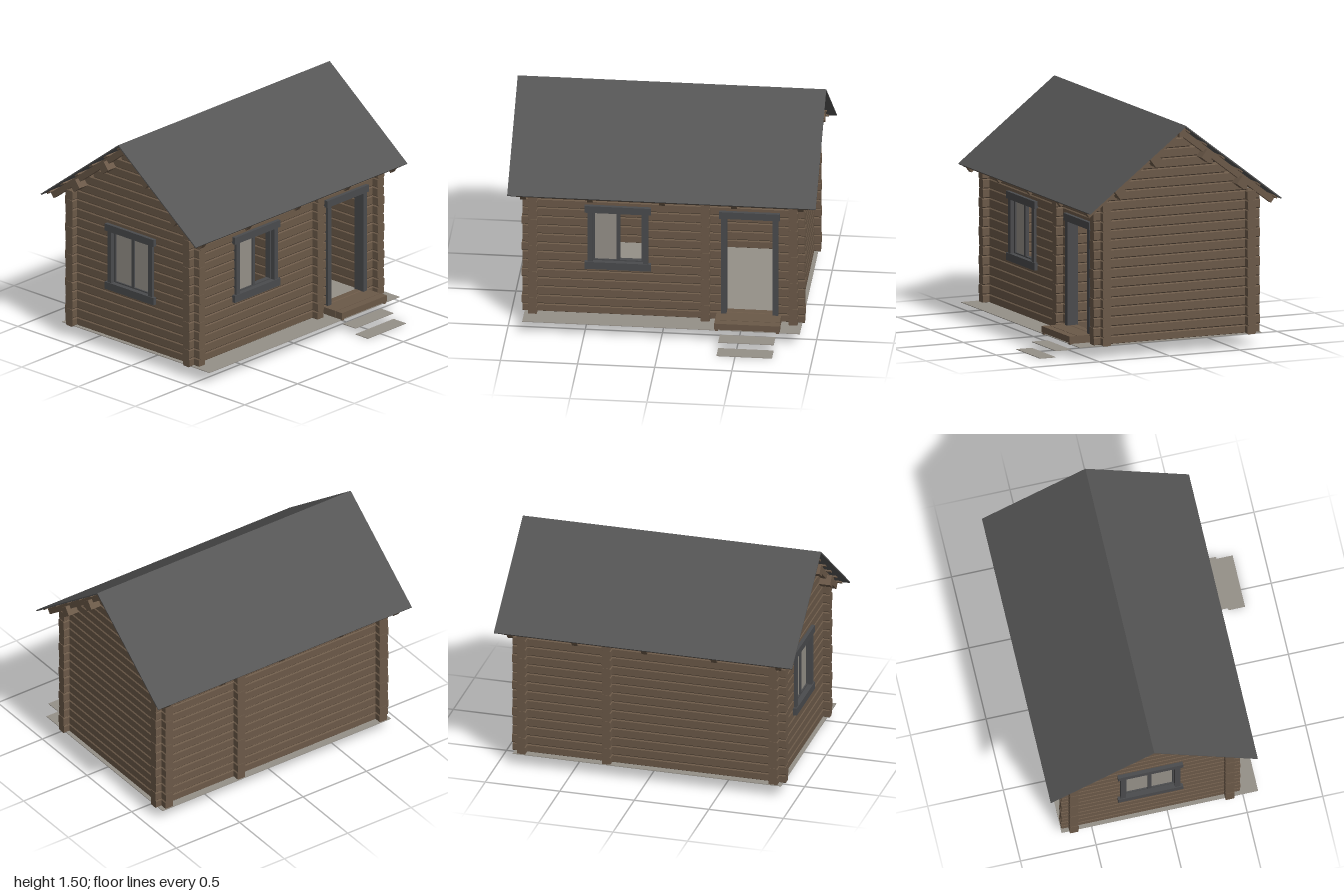
import * as THREE from 'three';

const material = (name, color) => {
  const m = new THREE.MeshStandardMaterial({ color });
  m.name = name;
  return m;
};

export function createModel() {
  const wood = material('brown wood', 0x6b5948);
  const roofing = material('roof grey', 0x555555);
  const trim = material('dark trim', 0x4a4b4d);
  const pale = material('pale grey', 0x959088);
  pale.side = THREE.DoubleSide;

  const cabin = new THREE.Group();
  cabin.name = 'logCabin';
  const group = (name, parent = cabin) => {
    const g = new THREE.Group();
    g.name = name;
    parent.add(g);
    return g;
  };
  // Box given by its extents on each axis
  const box = (parent, name, mat, [x0, x1], [y0, y1], [z0, z1]) => {
    const m = new THREE.Mesh(new THREE.BoxGeometry(x1 - x0, y1 - y0, z1 - z0), mat);
    m.position.set((x0 + x1) / 2, (y0 + y1) / 2, (z0 + z1) / 2);
    m.name = name;
    parent.add(m);
    return m;
  };

  // Squared log with chamfered edges, running from a to b along x or z
  const T = 0.029, C = 0.007;
  const log = (parent, axis, a, b, cross, y0, y1) => {
    const s = new THREE.Shape([
      [-T + C, y0], [T - C, y0], [T, y0 + C], [T, y1 - C],
      [T - C, y1], [-T + C, y1], [-T, y1 - C], [-T, y0 + C],
    ].map(([x, y]) => new THREE.Vector2(x, y)));
    const geo = new THREE.ExtrudeGeometry(s, { depth: b - a, bevelEnabled: false });
    const m = new THREE.Mesh(geo, wood);
    m.name = 'log';
    if (axis === 'x') {
      m.rotation.y = Math.PI / 2;
      m.position.set(a, 0, cross);
    } else m.position.set(cross, 0, a);
    parent.add(m);
  };

  // Wall of stacked logs; an opening is [from, to, bottom, top]
  const ROW = 0.0631, BASE = 0.137, ROWS = 14;
  const wall = (name, axis, from, to, cross, openings = []) => {
    const g = group(name);
    for (let i = 0; i <= ROWS; i++) {
      const y1 = BASE + i * ROW, y0 = i ? y1 - ROW : 0.08;
      const mid = (y0 + y1) / 2, jog = i % 3 === 1 ? 0.004 : 0;
      let start = from - jog;
      for (const [a, b, low, high] of openings) {
        if (mid < low || mid > high) continue;
        log(g, axis, start, a, cross, y0, y1);
        start = b;
      }
      log(g, axis, start, to + jog, cross, y0, y1);
    }
    return g;
  };
  const RIDGE_Z = -0.115, RIDGE_Y = 1.5, RISE = 0.525, RUN = 0.685;
  wall('frontWall', 'x', -0.915, 0.915, 0.405,
    [[-0.47, -0.12, 0.46, 0.82], [0.4, 0.72, 0.137, 0.82]]);
  wall('backWall', 'x', -0.915, 0.915, -0.625);
  wall('innerWall', 'z', -0.7, 0.48, 0.275);
  for (const side of [-1, 1]) {
    const g = wall(side < 0 ? 'rightWall' : 'leftWall', 'z', -0.7, 0.48, side * 0.845,
      side < 0 ? [[-0.29, 0.06, 0.46, 0.82]] : []);
    // Gable logs shorten towards the ridge
    for (let y = BASE + ROWS * ROW; y < 1.4; y += ROW) {
      const half = (1.435 - y - ROW / 2) * RUN / RISE;
      if (half > 0.01) log(g, 'z', RIDGE_Z - half, RIDGE_Z + half, side * 0.845, y, y + ROW);
    }
  }

  // Window with its outer wall face at local z = 0
  const window_ = (name, panes) => {
    const g = group(name);
    box(g, 'topTrim', trim, [-0.215, 0.215], [0.82, 0.868], [-0.058, 0.024]);
    box(g, 'sill', trim, [-0.215, 0.215], [0.415, 0.465], [-0.058, 0.024]);
    for (const s of [-1, 1]) {
      const jamb = [s * 0.18 - 0.017, s * 0.18 + 0.017];
      box(g, 'jamb', trim, jamb, [0.465, 0.82], [-0.058, 0.018]);
      // Sash around each pane
      const c = s * 0.082;
      for (const e of [-1, 1])
        box(g, 'sashSide', trim, [c + e * 0.076 - 0.006, c + e * 0.076 + 0.006], [0.465, 0.82], [-0.035, -0.01]);
      for (const y of [0.465, 0.812])
        box(g, 'sashRail', trim, [c - 0.07, c + 0.07], [y, y + 0.008], [-0.035, -0.01]);
      if (panes.includes(s))
        box(g, 'pane', pale, [c - 0.07, c + 0.07], [0.473, 0.812], [-0.025, -0.02]);
    }
    return g;
  };
  window_('frontWindow', [-1]).position.set(-0.295, 0, 0.434);
  const sideWindow = window_('sideWindow', [-1, 1]);
  sideWindow.position.set(-0.874, 0, RIDGE_Z);
  sideWindow.rotation.y = -Math.PI / 2;

  // Open doorway
  const door = group('doorFrame');
  for (const x of [0.375, 0.71])
    box(door, 'doorJamb', trim, [x, x + 0.035], [0.135, 0.825], [0.376, 0.452]);
  box(door, 'doorHead', trim, [0.362, 0.755], [0.82, 0.868], [0.376, 0.458]);

  // Porch deck of two planks on short bearers
  const porch = group('porch');
  box(porch, 'plank', wood, [0.345, 0.765], [0.093, 0.135], [0.434, 0.548]);
  box(porch, 'plank', wood, [0.345, 0.77], [0.093, 0.135], [0.552, 0.605]);
  for (const x of [0.35, 0.745])
    box(porch, 'bearer', wood, [x, x + 0.02], [0.08, 0.093], [0.44, 0.6]);

  // Floor slab and step treads
  box(cabin, 'floorSlab', pale, [-0.9, 0.9], [0.081, 0.085], [-0.705, 0.595]);
  box(cabin, 'upperStep', pale, [0.38, 0.74], [0.041, 0.045], [0.58, 0.69]);
  box(cabin, 'lowerStep', pale, [0.38, 0.74], [0, 0.004], [0.69, 0.8]);

  // Two roof slopes, local z running down from the ridge
  const L = Math.hypot(RISE, RUN);
  const roof = group('roof');
  for (const turn of [0, Math.PI]) {
    const half = group('roofHalf', roof);
    half.position.set(0, RIDGE_Y, RIDGE_Z);
    half.rotation.y = turn;
    const slope = group('slope', half);
    slope.rotation.x = Math.atan2(RISE, RUN);
    box(slope, 'roofSheet', roofing, [-1, 1], [-0.008, 0], [0, L]);
    for (const x of [-0.9, -0.467, 0, 0.467, 0.9])
      box(slope, 'rafter', wood, [x - 0.019, x + 0.019], [-0.058, -0.018], [0.02, L - 0.005]);
    for (const z of [0.05, 0.2, 0.36, 0.52, 0.68, 0.83])
      box(slope, 'batten', wood, [-0.95, 0.95], [-0.018, -0.008], [z, z + 0.03]);
    for (const z of [0.28, 0.597])
      box(slope, 'purlin', wood, [-0.95, 0.95], [-0.098, -0.034], [z - 0.032, z + 0.032]);
  }
  box(roof, 'ridgeBeam', wood, [-0.95, 0.95], [1.415, 1.475], [RIDGE_Z - 0.021, RIDGE_Z + 0.021]);

  return cabin;
}
